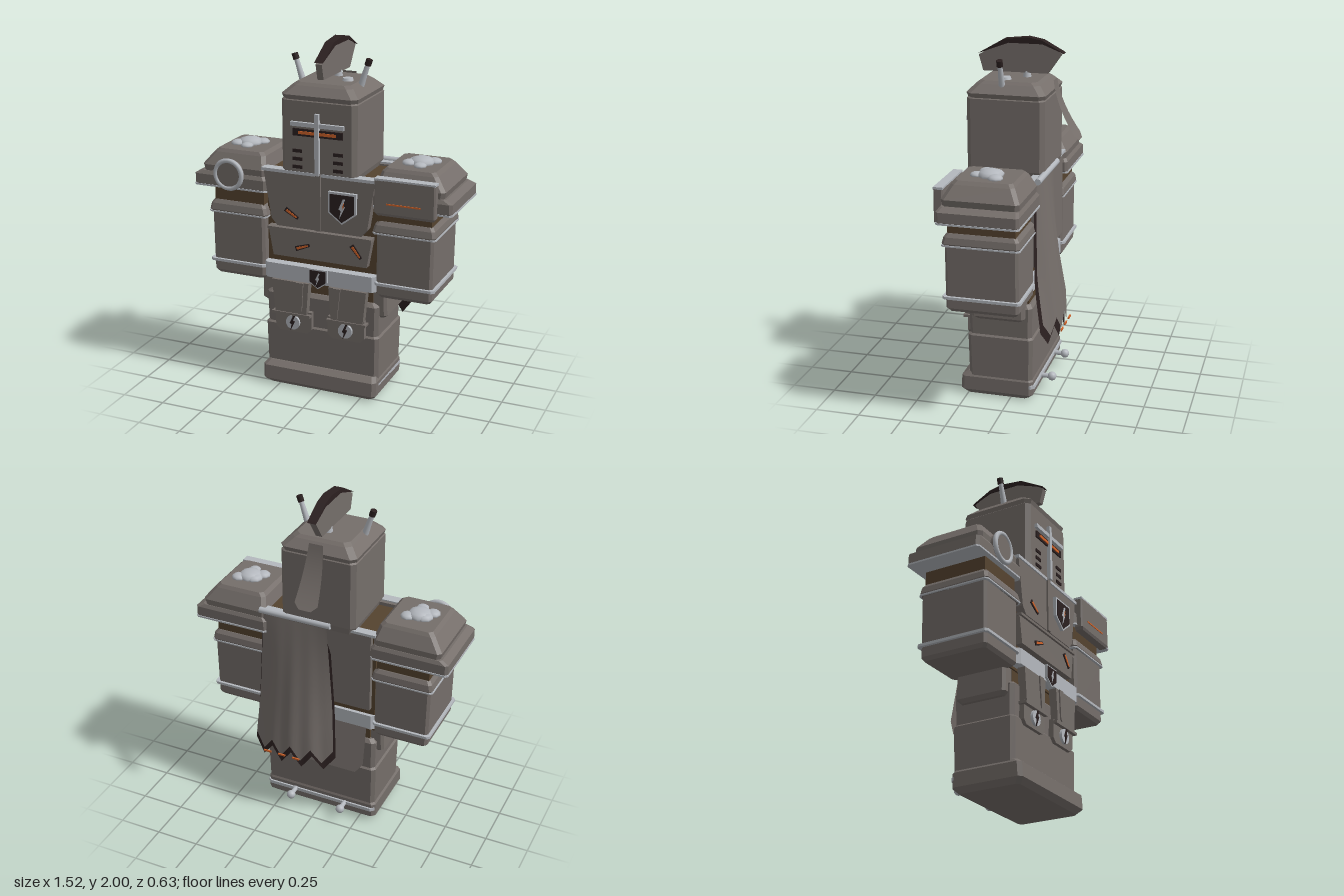
import * as THREE from 'three';

const paint = (name, color, extra = {}) => new THREE.MeshStandardMaterial({ name, color, ...extra });

export function createModel() {
  const root = new THREE.Group();
  root.name = 'armouredKnight';
  const steel = paint('wornSteel', 0x756e6a, { side: THREE.DoubleSide });
  const light = paint('brightSteel', 0xb4b8be);
  const dark = paint('blackIron', 0x2b2020, { side: THREE.DoubleSide });
  const brown = paint('leather', 0x55432f);
  const orange = paint('ember', 0xd2642a);

  const add = (name, geo, mat, x = 0, y = 0, z = 0) => {
    const m = new THREE.Mesh(geo, mat);
    m.name = name;
    m.position.set(x, y, z);
    root.add(m);
    return m;
  };

  // box between limits
  const box = (name, mat, x0, x1, y0, y1, z0, z1) =>
    add(name, new THREE.BoxGeometry(Math.abs(x1 - x0), y1 - y0, z1 - z0), mat,
      (x0 + x1) / 2, (y0 + y1) / 2, (z0 + z1) / 2);

  // block with chamfered upright corners, lofted through levels [y, xa, xb, z0, z1]
  const block = (name, mat, c, levels) => {
    const rings = levels.map(([y, xa, xb, z0, z1]) => {
      const a = Math.min(xa, xb), b = Math.max(xa, xb);
      return [[b - c, z1], [b, z1 - c], [b, z0 + c], [b - c, z0],
        [a + c, z0], [a, z0 + c], [a, z1 - c], [a + c, z1]].map(([x, z]) => [x, y, z]);
    });
    const p = [];
    const tri = (...v) => v.forEach((q) => p.push(...q));
    for (let k = 0; k + 1 < rings.length; k++) {
      for (let i = 0; i < 8; i++) {
        const j = (i + 1) % 8, lo = rings[k], hi = rings[k + 1];
        tri(lo[i], lo[j], hi[j]);
        tri(lo[i], hi[j], hi[i]);
      }
    }
    const bottom = rings[0], top = rings[rings.length - 1];
    for (let i = 1; i < 7; i++) {
      tri(top[0], top[i], top[i + 1]);
      tri(bottom[0], bottom[i + 1], bottom[i]);
    }
    const g = new THREE.BufferGeometry();
    g.setAttribute('position', new THREE.Float32BufferAttribute(p, 3));
    g.computeVertexNormals();
    return add(name, g, mat);
  };

  // flat plate from an outline, facing +z
  const plate = (name, mat, pts, z, depth, x = 0, y = 0) =>
    add(name, new THREE.ExtrudeGeometry(new THREE.Shape(pts.map((p) => new THREE.Vector2(...p))),
      { depth, bevelEnabled: false }), mat, x, y, z);

  // rod between two points
  const rod = (name, mat, a, b, r0, r1 = r0) => {
    const A = new THREE.Vector3(...a), d = new THREE.Vector3(...b).sub(A);
    const m = add(name, new THREE.CylinderGeometry(r1, r0, d.length(), 10), mat);
    m.position.copy(A).addScaledVector(d, 0.5);
    m.quaternion.setFromUnitVectors(new THREE.Vector3(0, 1, 0), d.normalize());
  };

  const crack = [[0.2, 1], [0.5, 0.95], [0.1, 0.25], [0.45, 0.2], [-0.35, -1],
    [-0.1, -0.15], [-0.45, -0.05]];
  const scaled = (pts, sx, sy = sx) => pts.map(([x, y]) => [x * sx, y * sy]);
  const crest = [[-1, 1], [-1, -0.3], [0, -1], [1, -0.3], [1, 1]];
  crest.reverse();

  // feet, legs and hips
  block('boots', steel, 0.02, [[0, -0.32, 0.32, -0.1, 0.26], [0.03, -0.35, 0.345, -0.13, 0.29],
    [0.11, -0.35, 0.345, -0.13, 0.285], [0.135, -0.33, 0.33, -0.12, 0.25]]);
  block('bootRim', light, 0.02, [[0.07, -0.345, 0.345, -0.14, 0.25], [0.09, -0.345, 0.345, -0.14, 0.25]]);
  block('lowerLegs', steel, 0.02, [[0.12, -0.34, 0.34, -0.125, 0.24], [0.365, -0.345, 0.345, -0.13, 0.245],
    [0.375, -0.335, 0.335, -0.12, 0.235]]);
  block('upperLegs', steel, 0.02, [[0.37, -0.335, 0.335, -0.12, 0.235], [0.55, -0.34, 0.34, -0.125, 0.24],
    [0.57, -0.32, 0.32, -0.11, 0.22]]);
  box('hips', brown, -0.3, 0.3, 0.5, 0.7, -0.1, 0.21);
  for (const s of [-1, 1]) {
    rod('spurShaft', light, [s * 0.16, 0.08, -0.12], [s * 0.16, 0.08, -0.2], 0.014);
    add('spurBall', new THREE.SphereGeometry(0.026, 10, 8), light, s * 0.16, 0.08, -0.2);
    block('hipGuard', steel, 0.015, [[0.48, s * 0.3, s * 0.36, -0.07, 0.19], [0.5, s * 0.29, s * 0.38, -0.09, 0.21],
      [0.65, s * 0.29, s * 0.375, -0.09, 0.21]]);

    // front skirt plates with cracked studs
    const upper = [[0.06, 0.65], [0.075, 0.45], [0.265, 0.45], [0.285, 0.65]];
    const lower = [[0.05, 0.47], [0.05, 0.365], [0.075, 0.34], [0.245, 0.34], [0.27, 0.365], [0.27, 0.47]];
    plate('lowerSkirtPlate', steel, scaled(lower, s, 1), 0.235, 0.03);
    plate('upperSkirtPlate', steel, scaled(upper, s, 1), 0.235, 0.045);
    plate('skirtPleat', steel, scaled([[0.09, 0.65], [0.1, 0.48], [0.115, 0.47], [0.135, 0.65]], s, 1), 0.28, 0.008);
    box('skirtRail', steel, s * 0.05, s * 0.285, 0.445, 0.46, 0.24, 0.287);
    const stud = add('skirtStud', new THREE.CylinderGeometry(0.042, 0.042, 0.02, 16), light, s * 0.16, 0.4, 0.27);
    stud.rotation.x = Math.PI / 2;
    plate('studCrack', dark, scaled(crack, 0.035, 0.048), 0.28, 0.006, s * 0.16, 0.4);
  }

  // torso: leather core, breastplate, belly plate, back plate
  box('torsoCore', brown, -0.33, 0.33, 0.64, 1.27, -0.11, 0.22);
  plate('breastplate', steel, [[-0.33, 1.29], [-0.285, 1.01], [-0.25, 0.97], [0.25, 0.97], [0.285, 1.01], [0.33, 1.29]], 0.2, 0.07);
  box('breastRidge', steel, -0.015, 0.015, 0.97, 1.3, 0.25, 0.28);
  plate('bellyPlate', steel, [[-0.31, 0.96], [-0.28, 0.79], [0.28, 0.79], [0.31, 0.96]], 0.2, 0.062);
  box('bellyRim', steel, -0.31, 0.31, 0.945, 0.96, 0.22, 0.275);
  box('backPlate', steel, -0.31, 0.31, 0.79, 1.28, -0.14, -0.09);
  box('collarFront', light, -0.34, 0.34, 1.28, 1.297, 0.22, 0.278);
  box('collarBack', light, -0.34, 0.34, 1.275, 1.29, -0.15, -0.1);
  block('belt', light, 0.02, [[0.655, -0.335, 0.335, -0.13, 0.275], [0.745, -0.335, 0.335, -0.13, 0.275]]);

  // crests on chest and belt buckle
  for (const [x, y, w, h] of [[0.145, 1.12, 0.082, 0.09], [0, 0.69, 0.056, 0.058]]) {
    plate('crestBorder', light, scaled(crest, w, h), 0.27, 0.018, x, y);
    plate('crestField', dark, scaled(crest, w * 0.87, h * 0.87), 0.288, 0.003, x, y);
    plate('crestCrack', light, scaled(crack, w * 0.5, h * 0.65), 0.291, 0.003, x, y);
  }
  plate('crestEmber', orange, scaled(crack, 0.012, 0.02), 0.294, 0.002, 0.155, 1.135);

  // glowing battle scars
  for (const [x, y, a, z] of [[-0.16, 1.05, -0.55, 0.27], [-0.1, 0.86, 0.35, 0.262], [0.22, 0.875, -0.9, 0.262]]) {
    const g = [[0.045, 0.014, dark, 0.006], [0.036, 0.007, orange, 0.009]];
    for (const [w, h, mat, d] of g) {
      plate('scar', mat, [[-w, -h], [w, -h * 0.6], [w, h * 0.6], [-w, h]], z, d, x, y).rotation.z = a;
    }
  }

  // arms and shoulders
  for (const s of [-1, 1]) {
    box('armCore', brown, s * 0.34, s * 0.645, 0.9, 1.25, -0.12, 0.25);
    block('bracer', steel, 0.015, [[0.63, s * 0.35, s * 0.64, -0.12, 0.25], [0.65, s * 0.335, s * 0.655, -0.135, 0.265],
      [1.0, s * 0.335, s * 0.66, -0.135, 0.265]]);
    block('bracerCuff', steel, 0.015, [[1.0, s * 0.32, s * 0.665, -0.14, 0.272], [1.015, s * 0.315, s * 0.672, -0.145, 0.278],
      [1.05, s * 0.325, s * 0.665, -0.14, 0.27], [1.07, s * 0.34, s * 0.65, -0.125, 0.255]]);
    block('cuffTrim', light, 0.015, [[1.0, s * 0.315, s * 0.675, -0.147, 0.28], [1.008, s * 0.315, s * 0.675, -0.147, 0.28]]);
    block('bracerTrim', light, 0.015, [[0.705, s * 0.33, s * 0.672, -0.15, 0.28], [0.72, s * 0.33, s * 0.672, -0.15, 0.28]]);
    block('pauldronFlange', steel, 0.015, [[1.15, s * 0.32, s * 0.75, -0.155, 0.27], [1.16, s * 0.315, s * 0.76, -0.165, 0.278],
      [1.215, s * 0.315, s * 0.76, -0.165, 0.278], [1.235, s * 0.33, s * 0.72, -0.155, 0.265]]);
    block('pauldron', steel, 0.02, [[1.22, s * 0.325, s * 0.705, -0.15, 0.26], [1.27, s * 0.325, s * 0.715, -0.155, 0.265],
      [1.34, s * 0.345, s * 0.66, -0.115, 0.225], [1.358, s * 0.365, s * 0.64, -0.1, 0.21]]);
    block('pauldronTrim', light, 0.015, [[1.148, s * 0.315, s * 0.762, -0.168, 0.28], [1.158, s * 0.315, s * 0.762, -0.168, 0.28]]);
    // stones resting on the shoulder
    for (const [x, z, r] of [[0, 0.05, 0.07], [0.055, 0.01, 0.042], [-0.06, 0.088, 0.042], [0.012, 0.122, 0.036], [-0.03, 0.035, 0.05]]) {
      add('shoulderStone', new THREE.SphereGeometry(r, 9, 7), light, s * 0.515 + x, 1.362, z).scale.y = 0.5;
    }
  }

  // square shield on the left shoulder, round one on the right
  block('squareShield', steel, 0.008, [[1.12, 0.35, 0.67, 0.26, 0.305], [1.135, 0.338, 0.68, 0.26, 0.312], [1.315, 0.338, 0.68, 0.26, 0.312]]);
  box('squareShieldTrim', light, 0.338, 0.68, 1.312, 1.325, 0.26, 0.312);
  box('squareShieldGlow', orange, 0.41, 0.6, 1.185, 1.193, 0.308, 0.316);
  add('roundShieldRim', new THREE.TorusGeometry(0.08, 0.014, 8, 28), light, -0.535, 1.235, 0.294);
  add('roundShieldFace', new THREE.CylinderGeometry(0.08, 0.08, 0.04, 28), steel, -0.535, 1.235, 0.28).rotation.x = Math.PI / 2;

  // helmet with visor, cross and breathing slots
  block('helmet', steel, 0.025, [[1.26, -0.21, 0.21, -0.15, 0.265], [1.3, -0.22, 0.22, -0.16, 0.275], [1.69, -0.22, 0.22, -0.16, 0.275], [1.71, -0.2, 0.2, -0.14, 0.255]]);
  block('helmetCap', steel, 0.03, [[1.695, -0.215, 0.215, -0.155, 0.27], [1.72, -0.222, 0.222, -0.163, 0.278],
    [1.765, -0.175, 0.175, -0.12, 0.235], [1.78, -0.155, 0.155, -0.1, 0.215]]);
  box('visorSlit', dark, -0.145, 0.145, 1.5, 1.54, 0.27, 0.283);
  box('visorGlow', orange, -0.11, 0.11, 1.512, 1.528, 0.28, 0.288);
  box('crossUpright', light, -0.012, 0.012, 1.29, 1.63, 0.27, 0.296);
  box('crossBar', light, -0.155, 0.155, 1.555, 1.578, 0.27, 0.293);
  for (const s of [-1, 1]) {
    for (const y of [1.325, 1.37, 1.415]) box('breathSlot', dark, s * 0.092, s * 0.147, y - 0.009, y + 0.009, 0.27, 0.281);
    rod('horn', light, [s * 0.165, 1.74, 0.085], [s * 0.21, 1.88, 0.085], 0.019, 0.013);
    rod('hornTip', dark, [s * 0.208, 1.872, 0.085], [s * 0.219, 1.905, 0.085], 0.018);
  }
  add('capStud', new THREE.CylinderGeometry(0.028, 0.035, 0.02, 8), light, 0.095, 1.785, 0.085);
  rod('plumeHolder', light, [0, 1.77, -0.01], [0, 1.84, -0.01], 0.025, 0.015);

  // plume drawn in side profile (z, y), with a dark ridge
  const ridge = [[0.262, 1.9], [0.115, 1.985], [-0.02, 2.0], [-0.1, 1.985], [-0.21, 1.925]];
  const profile = (name, mat, pts, w) => {
    const m = plate(name, mat, pts.map(([z, y]) => [-z, y]), 0, w);
    m.rotation.y = Math.PI / 2;
    m.position.x = -w / 2;
  };
  profile('plume', steel, [[0.235, 1.805], ...ridge.map(([z, y]) => [z * 0.99, y - 0.008]), [-0.13, 1.805]], 0.036);
  profile('plumeRidge', dark, [...ridge, [-0.22, 1.918], [-0.1, 1.965], [0.09, 1.965]], 0.05);

  // hanging cloth: shape(u, v) maps a unit sheet, v runs downwards
  const cloth = (name, mat, nu, nv, shape) => {
    const g = new THREE.PlaneGeometry(1, 1, nu, nv), p = g.attributes.position;
    for (let i = 0; i < p.count; i++) p.setXYZ(i, ...shape(p.getX(i) + 0.5, 0.5 - p.getY(i)));
    g.computeVertexNormals();
    return add(name, g, mat);
  };
  const mix = THREE.MathUtils.lerp;
  const cape = (grow, drop, dz) => (u, v) => {
    const tooth = Math.abs(((u * 4) % 1) - 0.5) * 2;
    const w = 2 * u - 1;
    return [mix(mix(-0.05, -0.115, v) - grow, mix(0.335, 0.375, v) + grow, u),
      mix(1.27, 0.4 + 0.085 * tooth - drop, v),
      mix(-0.148, -0.262, v) + 0.07 * w * w * Math.min(1, v * 1.5) * 0.9 + dz];
  };
  cloth('capeOuter', steel, 24, 8, cape(0, 0, 0));
  cloth('capeLining', dark, 24, 8, cape(0.01, 0.05, 0.012));
  rod('capeBar', light, [-0.08, 1.29, -0.16], [0.35, 1.29, -0.16], 0.018);
  for (const x of [0.085, 0.175, 0.265]) box('capeEmber', orange, x - 0.022, x + 0.022, 0.42, 0.43, -0.284, -0.276);
  cloth('backSkirt', steel, 8, 5, (u, v) => {
    const k = v > 0.9 ? 0.85 : 1;
    return [0.29 * (2 * u - 1) * k, mix(0.66, 0.37, v), mix(-0.132, -0.185, v)];
  });
  cloth('helmetRibbon', steel, 6, 12, (u, v) => [(2 * u - 1) * (v > 0.95 ? 0.035 : mix(0.04, 0.07, v)),
    mix(1.775, 1.45, v), -0.168 - 0.05 * v - 0.095 * v * v]);

  return root;
}
